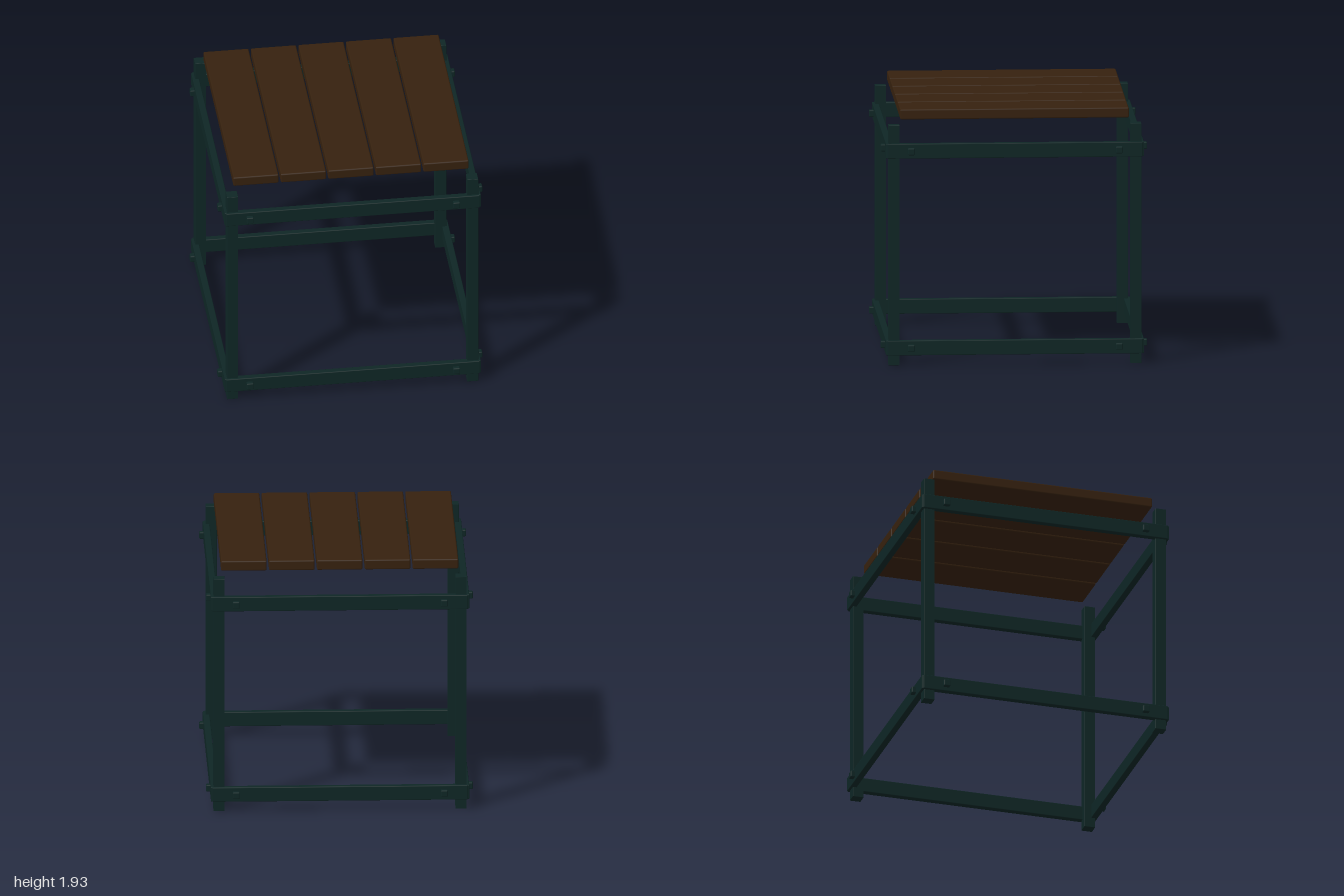
import * as THREE from 'three';
import { RoundedBoxGeometry } from 'three/addons/geometries/RoundedBoxGeometry.js';

const wood = new THREE.MeshStandardMaterial({ color: 0x36210e });
wood.name = 'dark wood';
const metal = new THREE.MeshStandardMaterial({ color: 0x0e2625 });
metal.name = 'dark green metal';

// Box with softened edges
function block(name, material, [w, h, d], [x, y, z], bevel) {
  const mesh = new THREE.Mesh(new RoundedBoxGeometry(w, h, d, 1, bevel), material);
  mesh.name = name;
  mesh.position.set(x, y, z);
  return mesh;
}

export function createModel() {
  const model = new THREE.Group();
  model.name = 'slattedTable';

  // Tabletop planks, raised clear of the frame
  for (let i = -2; i <= 2; i++) {
    model.add(block('plank', wood, [0.342, 0.076, 1.716], [i * 0.359, 1.893, 0], 0.01));
  }

  // Corner posts
  for (const x of [-1, 1]) {
    for (const z of [-1, 1]) {
      model.add(block('post', metal, [0.084, 1.82, 0.084], [x * 0.907, 0.91, z * 0.907], 0.003));
    }
  }

  // Four identical sides: two rails each, with a square bolt head near each end
  for (let i = 0; i < 4; i++) {
    const side = new THREE.Group();
    side.name = 'frameSide';
    side.rotation.y = i * Math.PI / 2;
    for (const y of [0.133, 1.627]) {
      side.add(block('rail', metal, [1.915, 0.112, 0.05], [0, y, 0.943], 0.006));
      for (const x of [-0.78, 0.78]) {
        side.add(block('boltHead', metal, [0.052, 0.052, 0.05], [x, y, 0.975], 0.008));
      }
    }
    model.add(side);
  }
  return model;
}
